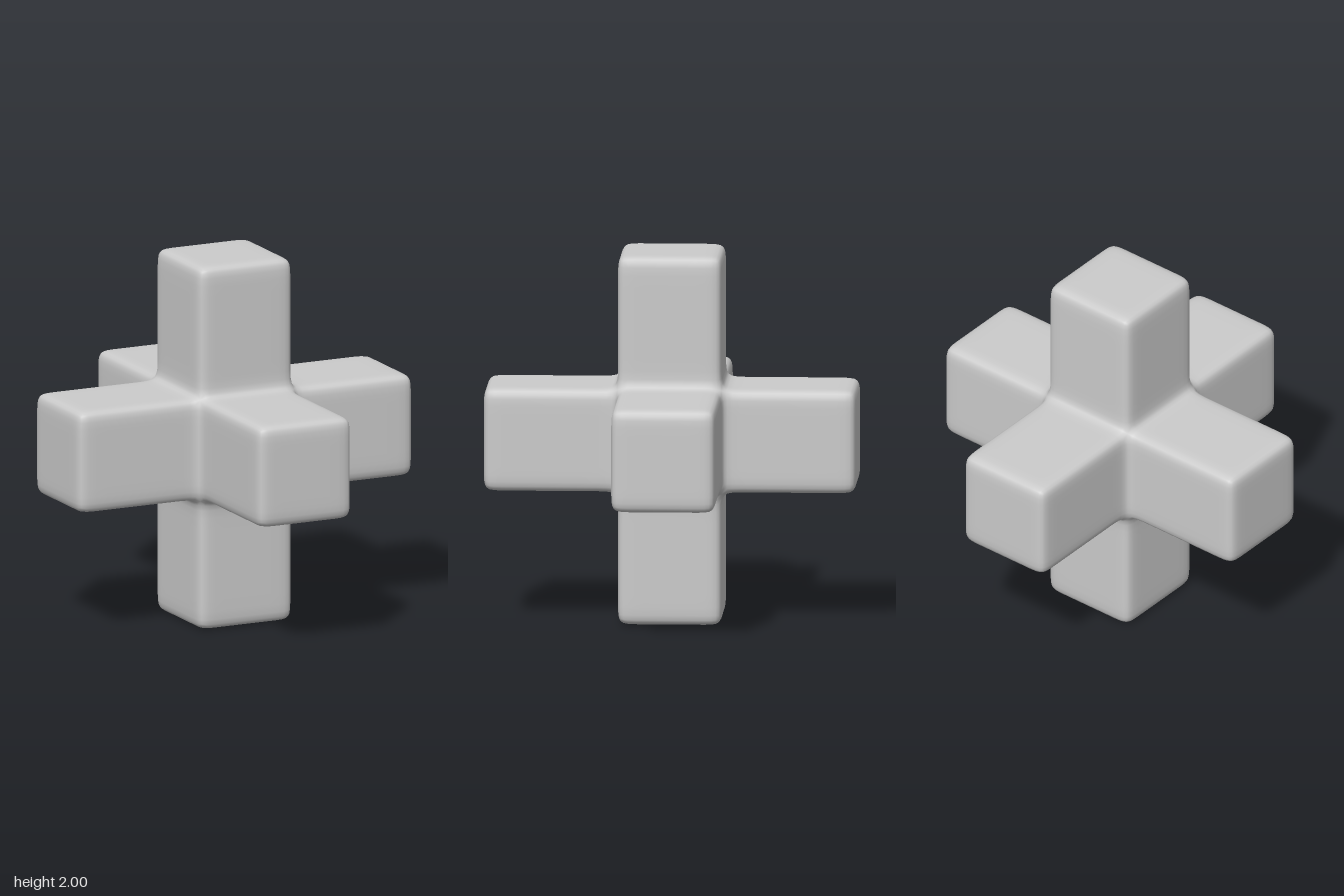
import * as THREE from 'three';

const HALF = 0.28;   // half thickness of each arm
const REACH = 1;     // arm length from the centre
const SOFT = 0.1;    // support loop distance, sets edge and fillet softness

// Grid lines along each axis, with support loops beside every edge
const side = [HALF - SOFT, HALF, HALF + SOFT, REACH - SOFT, REACH];
const lines = [...side.map((v) => -v).reverse(), ...side];

// A cell is solid when it lies inside at least one of the three crossing bars
function isSolid(cell) {
  if (cell.some((i) => i < 0 || i >= lines.length - 1)) return false;
  const within = cell.filter((i) => Math.abs(lines[i] + lines[i + 1]) / 2 < HALF);
  return within.length >= 2;
}

// Quad cage: the boundary faces between solid and empty cells
function buildCage() {
  const points = [], faces = [], lookup = new Map();
  const corner = (ijk) => {
    const key = ijk.join();
    if (!lookup.has(key)) {
      lookup.set(key, points.length);
      points.push(new THREE.Vector3(...ijk.map((i) => lines[i])));
    }
    return lookup.get(key);
  };
  const n = lines.length - 1;
  for (let i = 0; i < n; i++) for (let j = 0; j < n; j++) for (let k = 0; k < n; k++) {
    const cell = [i, j, k];
    if (!isSolid(cell)) continue;
    for (let axis = 0; axis < 3; axis++) for (const dir of [-1, 1]) {
      const next = [...cell];
      next[axis] += dir;
      if (isSolid(next)) continue;
      const quad = [[0, 0], [1, 0], [1, 1], [0, 1]].map(([u, v]) => {
        const c = [...cell];
        c[axis] += dir > 0 ? 1 : 0;
        c[(axis + 1) % 3] += u;
        c[(axis + 2) % 3] += v;
        return corner(c);
      });
      faces.push(dir > 0 ? quad : quad.reverse());
    }
  }
  return { points, faces };
}

// One round of Catmull-Clark smoothing on a closed quad mesh
function subdivide({ points, faces }) {
  const sums = points.map(() => ({ face: new THREE.Vector3(), mid: new THREE.Vector3(), n: 0 }));
  const edges = new Map();
  const edgeKey = (a, b) => (a < b ? `${a},${b}` : `${b},${a}`);
  const out = points.map((p) => p.clone());
  const centres = faces.map((f) => {
    const centre = new THREE.Vector3();
    f.forEach((i) => centre.addScaledVector(points[i], 1 / 4));
    f.forEach((a, s) => {
      const b = f[(s + 1) % 4], key = edgeKey(a, b);
      const mid = points[a].clone().add(points[b]).multiplyScalar(0.5);
      sums[a].face.add(centre);
      sums[a].mid.add(mid);
      sums[a].n++;
      if (!edges.has(key)) {
        edges.set(key, out.length);
        out.push(mid.clone().multiplyScalar(0.5));
      }
      out[edges.get(key)].addScaledVector(centre, 1 / 4);
    });
    return centre;
  });
  sums.forEach(({ face, mid, n }, i) => {
    out[i].multiplyScalar((n - 3) / n)
      .addScaledVector(face, 1 / (n * n))
      .addScaledVector(mid, 2 / (n * n));
  });
  const quads = [];
  faces.forEach((f, fi) => {
    const c = out.push(centres[fi]) - 1;
    f.forEach((a, s) => {
      quads.push([a, edges.get(edgeKey(a, f[(s + 1) % 4])), c, edges.get(edgeKey(f[(s + 3) % 4], a))]);
    });
  });
  return { points: out, faces: quads };
}

export function createModel() {
  const group = new THREE.Group();
  group.name = 'sixArmCross';

  let shape = buildCage();
  for (let i = 0; i < 2; i++) shape = subdivide(shape);

  const geometry = new THREE.BufferGeometry().setFromPoints(shape.points);
  geometry.setIndex(shape.faces.flatMap(([a, b, c, d]) => [a, b, c, a, c, d]));
  geometry.computeVertexNormals();

  // Six square arms blended into one soft-edged body
  const body = new THREE.Mesh(geometry, new THREE.MeshStandardMaterial({ color: 0xcccccc }));
  body.name = 'crossBody';
  body.position.y = REACH;
  group.add(body);
  return group;
}
